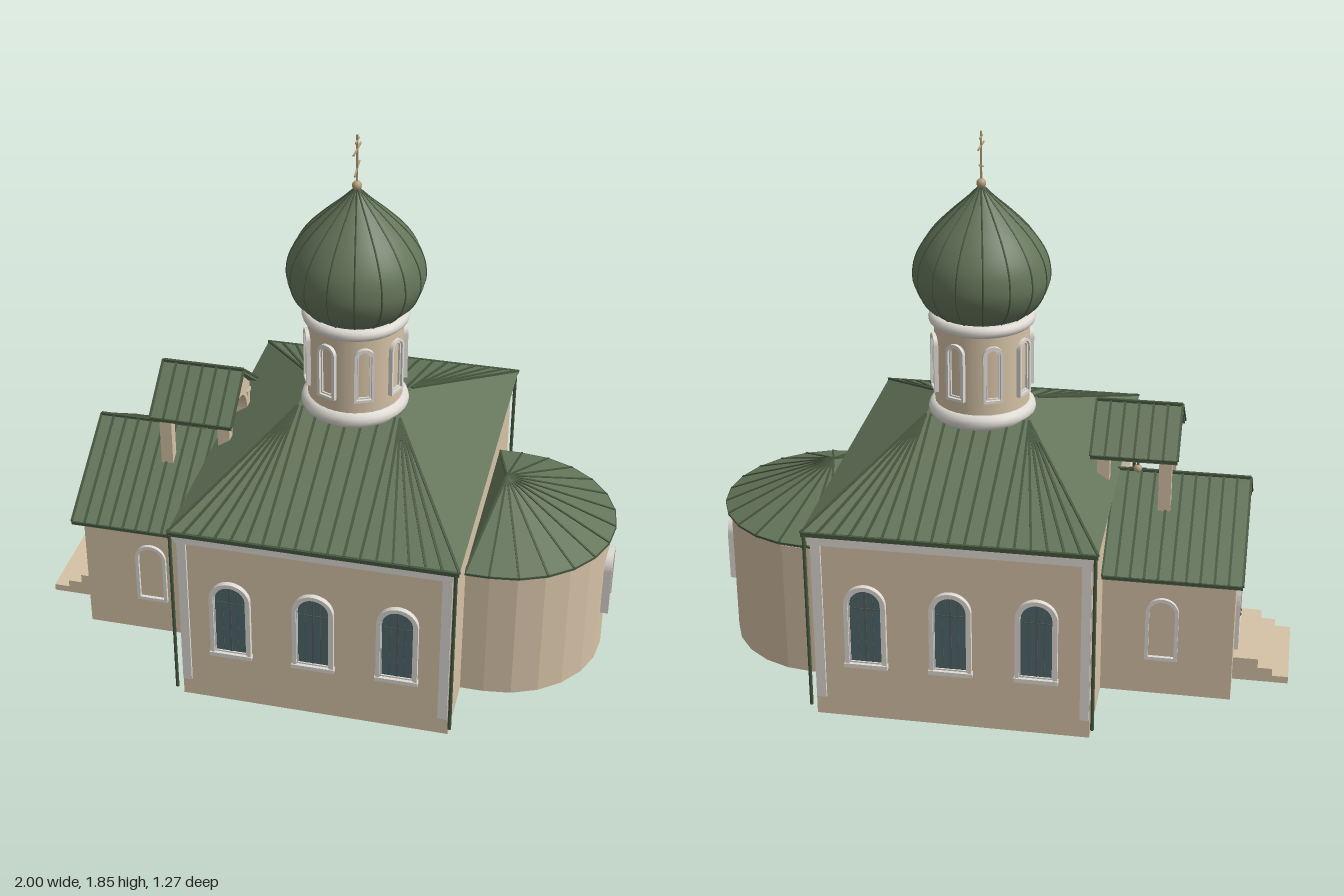
import * as THREE from 'three';

const mat = (name, color) => {
  const m = new THREE.MeshStandardMaterial({ color });
  m.name = name;
  return m;
};

export function createModel() {
  const root = new THREE.Group();
  root.name = 'church';
  const plaster = mat('plaster', 0xd5c2a6);
  const green = mat('roofGreen', 0x64755a);
  const seam = mat('seamGreen', 0x46563f);
  const trim = mat('whiteTrim', 0xdedad3);
  const glass = mat('windowGlass', 0x50686c);
  const iron = mat('greyIron', 0x555a58);
  const wood = mat('doorWood', 0xa08a6e);
  const bronze = mat('paleBronze', 0xb59f7c);

  // ---- helpers ----
  const add = (name, geo, m, x = 0, y = 0, z = 0, parent = root) => {
    const mesh = new THREE.Mesh(geo, m);
    mesh.name = name;
    mesh.position.set(x, y, z);
    parent.add(mesh);
    return mesh;
  };
  // box from min and max corners
  const block = (name, m, x0, x1, y0, y1, z0, z1, parent = root) =>
    add(name, new THREE.BoxGeometry(x1 - x0, y1 - y0, z1 - z0), m,
      (x0 + x1) / 2, (y0 + y1) / 2, (z0 + z1) / 2, parent);
  // thin bar between two points
  const bar = (name, m, a, b, w, parent = root) => {
    const p = new THREE.Vector3(...a), q = new THREE.Vector3(...b);
    const mesh = add(name, new THREE.BoxGeometry(w, w, p.distanceTo(q)), m, 0, 0, 0, parent);
    mesh.position.copy(p).add(q).multiplyScalar(0.5);
    mesh.lookAt(q);
  };
  const flat = (geo) => {
    const g = geo.index ? geo.toNonIndexed() : geo;
    g.computeVertexNormals();
    return g;
  };
  const extrude = (shape, depth) =>
    new THREE.ExtrudeGeometry(shape, { depth, bevelEnabled: false, curveSegments: 10 });
  const extrudeX = (shape, x0, x1) =>
    extrude(shape, x1 - x0).rotateY(Math.PI / 2).translate(x0, 0, 0);
  const poly = (pts) => new THREE.Shape(pts.map((p) => new THREE.Vector2(...p)));
  const arch = (w, h, y0 = 0) => {
    const s = new THREE.Shape();
    s.moveTo(-w / 2, y0);
    s.lineTo(w / 2, y0);
    s.lineTo(w / 2, h - w / 2);
    s.absarc(0, h - w / 2, w / 2, 0, Math.PI, false);
    s.closePath();
    return s;
  };
  const archFrame = (w, h, t) => {
    const s = arch(w, h);
    s.holes.push(arch(w - 2 * t, h - t, t));
    return s;
  };
  // arched opening facing +z, turned by angle
  const opening = (name, w, h, t, depth, fill, x, y, z, angle) => {
    const g = new THREE.Group();
    g.name = name;
    add('frame', extrude(archFrame(w, h, t), depth), trim, 0, 0, 0, g);
    if (fill) add('panel', extrude(arch(w - t, h - t / 2, t / 2), 0.006), fill, 0, 0, 0, g);
    g.position.set(x, y, z);
    g.rotation.y = angle;
    root.add(g);
    return g;
  };
  // gabled roof with its ridge along x and standing seams
  const gableRoof = (name, x0, x1, hz, yE, yR, count) => {
    const g = new THREE.Group();
    g.name = name;
    root.add(g);
    const t = 0.014;
    add('slopes', extrudeX(poly([[-hz, yE], [-hz, yE - t], [0, yR - t], [hz, yE - t], [hz, yE], [0, yR]]), x0, x1), green, 0, 0, 0, g);
    for (const s of [-1, 1]) {
      for (let i = 0; i <= count; i++) {
        const x = x0 + (x1 - x0) * i / count;
        bar('seam', seam, [x, yE, s * hz], [x, yR, 0], 0.008, g);
      }
      bar('eaveEdge', seam, [x0, yE - 0.004, s * hz], [x1, yE - 0.004, s * hz], 0.01, g);
    }
    bar('ridge', seam, [x0, yR, 0], [x1, yR, 0], 0.011, g);
  };

  // ---- nave ----
  const cx = 0.085;
  block('naveWalls', plaster, -0.37, 0.54, 0, 0.66, -0.6, 0.6);
  const roofGeo = new THREE.BoxGeometry(0.95, 0.2, 1.26);
  const rp = roofGeo.attributes.position;
  for (let i = 0; i < rp.count; i++) {
    if (rp.getY(i) > 0) {
      rp.setX(i, Math.sign(rp.getX(i)) * 0.175);
      rp.setZ(i, Math.sign(rp.getZ(i)) * 0.1);
    }
  }
  add('naveRoof', flat(roofGeo), green, cx, 0.788, 0);
  for (const s of [-1, 1]) {
    for (let i = 0; i <= 18; i++) {
      const dx = -0.475 + 0.95 * i / 18;
      const top = THREE.MathUtils.clamp(dx, -0.175, 0.175);
      bar('naveRoofSeam', seam, [cx + dx, 0.689, s * 0.63], [cx + top, 0.888, s * 0.1], 0.008);
    }
    block('gutter', seam, -0.39, 0.56, 0.677, 0.691, s * 0.63 - 0.005, s * 0.63 + 0.005);
    block('upperCornice', trim, -0.38, 0.552, 0.66, 0.677, s * 0.587 - 0.04, s * 0.587 + 0.04);
    block('lowerCornice', trim, -0.375, 0.546, 0.638, 0.654, s * 0.587 - 0.027, s * 0.587 + 0.027);
    for (const [x0, x1, px] of [[-0.368, -0.338, -0.382], [0.505, 0.537, 0.55]]) {
      block('pilaster', trim, x0, x1, 0.07, 0.638, s * 0.6 - 0.01, s * 0.6 + 0.01);
      add('downpipe', new THREE.CylinderGeometry(0.006, 0.006, 0.63, 8), seam, px, 0.367, s * 0.631);
    }
    // glazed windows
    for (const x of [-0.195, cx, 0.365]) {
      const g = opening('naveWindow', 0.138, 0.3, 0.014, 0.018, glass, x, 0.2, s * 0.6, s > 0 ? 0 : Math.PI);
      add('innerFrame', extrude(archFrame(0.114, 0.274, 0.006), 0.011), trim, 0, 0.013, 0, g);
      block('sill', trim, -0.072, 0.072, -0.001, 0.014, 0, 0.022, g);
      block('mullion', iron, -0.003, 0.003, 0.02, 0.28, 0, 0.009, g);
      block('transom', iron, -0.05, 0.05, 0.214, 0.218, 0, 0.008, g);
      for (const k of [-1, 1]) block('glazingBar', iron, k * 0.025 - 0.001, k * 0.025 + 0.001, 0.02, 0.26, 0, 0.008, g);
    }
    // blind niche on the porch side
    opening('porchNiche', 0.11, 0.235, 0.012, 0.012, null, -0.572, 0.135, s * 0.3, s > 0 ? 0 : Math.PI);
  }

  // ---- apse ----
  const ax = 0.62;
  block('apseBase', plaster, 0.5, ax, 0, 0.48, -0.36, 0.36);
  add('apseWall', flat(new THREE.CylinderGeometry(0.36, 0.36, 0.48, 12, 1, false, 0, Math.PI)), plaster, ax, 0.24, 0);
  const rim = [[0.54, 0.5, 0.375]];
  for (let i = 0; i <= 12; i++) {
    const a = Math.PI * i / 12;
    rim.push([ax + 0.375 * Math.sin(a), 0.5, 0.375 * Math.cos(a)]);
  }
  rim.push([0.54, 0.5, -0.375]);
  const apex = [0.615, 0.648, 0], tris = [];
  const base = 0.49;
  rim.forEach((p, i) => {
    const q = rim[(i + 1) % rim.length];
    const pl = [p[0], base, p[2]], ql = [q[0], base, q[2]];
    tris.push(...apex, ...p, ...q, ...p, ...pl, ...q, ...q, ...pl, ...ql, ax, base, 0, ...ql, ...pl);
    bar('apseRoofSeam', seam, p, apex, 0.007);
    if (i < rim.length - 1) bar('apseEave', seam, [p[0], 0.497, p[2]], [q[0], 0.497, q[2]], 0.006);
  });
  const apseRoof = new THREE.BufferGeometry();
  apseRoof.setAttribute('position', new THREE.Float32BufferAttribute(tris, 3));
  add('apseRoof', flat(apseRoof), green);
  opening('apseNiche', 0.115, 0.235, 0.014, 0.028, plaster, 0.972, 0.17, 0, Math.PI / 2);

  // ---- porch with gable, steps and door ----
  add('porchWalls', extrudeX(poly([[-0.3, 0], [0.3, 0], [0.3, 0.478], [0, 0.672], [-0.3, 0.478]]), -0.81, -0.36), plaster);
  gableRoof('porchRoof', -0.833, -0.372, 0.352, 0.465, 0.688, 10);
  [[-1, 0.025], [-0.945, 0.052], [-0.895, 0.085]].forEach(([x, h]) =>
    block('step', plaster, x, -0.8, 0, h, -0.168, 0.168));
  const door = opening('door', 0.23, 0.29, 0.02, 0.014, wood, -0.81, 0.083, 0, -Math.PI / 2);
  add('doorInnerFrame', extrude(archFrame(0.17, 0.25, 0.008), 0.01), trim, 0, 0.01, 0, door);
  block('doorSplit', iron, -0.002, 0.002, 0.01, 0.255, 0, 0.008, door);
  for (const s of [-1, 1]) add('handle', new THREE.SphereGeometry(0.006, 8, 6), iron, s * 0.015, 0.085, 0.012, door);

  // ---- belfry ----
  const end = poly([[-0.13, 0.58], [-0.092, 0.58], [-0.092, 0.73]]);
  end.absarc(0, 0.73, 0.092, Math.PI, 0, true);
  [[0.092, 0.58], [0.13, 0.58], [0.13, 0.815], [0, 0.928], [-0.13, 0.815]].forEach((p) => end.lineTo(...p));
  for (const x of [-0.573, -0.366]) {
    add('belfryArch', extrudeX(end, x, x + 0.042), plaster);
    for (const s of [-1, 1]) block('belfryCapital', plaster, x - 0.004, x + 0.046, 0.78, 0.795, s * 0.112 - 0.02, s * 0.112 + 0.02);
  }
  gableRoof('belfryRoof', -0.593, -0.305, 0.168, 0.81, 0.94, 6);
  add('bellRod', new THREE.CylinderGeometry(0.004, 0.004, 0.07, 8), iron, -0.45, 0.722, 0);
  block('bellBar', iron, -0.478, -0.422, 0.692, 0.697, -0.003, 0.003);
  add('bellKnob', new THREE.SphereGeometry(0.015, 12, 8), bronze, -0.45, 0.694, 0);

  // ---- drum ----
  add('drum', new THREE.CylinderGeometry(0.16, 0.16, 0.38, 32), plaster, cx, 1.045, 0);
  const ring = (name, r, t, y) => add(name, new THREE.TorusGeometry(r, t, 12, 40).rotateX(Math.PI / 2), trim, cx, y, 0);
  ring('lowerRing', 0.153, 0.029, 0.895);
  ring('upperRing', 0.158, 0.021, 1.217);
  for (let i = 0; i < 8; i++) {
    const a = (i + 0.5) * Math.PI / 4;
    const r = 0.155;
    const g = opening('drumNiche', 0.068, 0.2, 0.009, 0.016, null, cx + r * Math.sin(a), 0.968, r * Math.cos(a), a);
    add('innerFrame', extrude(archFrame(0.046, 0.178, 0.005), 0.01), trim, 0, 0.011, 0, g);
  }

  // ---- onion dome ----
  const profile = new THREE.SplineCurve([[0.15, 1.232], [0.195, 1.275], [0.222, 1.33], [0.226, 1.38], [0.211, 1.44],
    [0.168, 1.507], [0.103, 1.573], [0.048, 1.622], [0.008, 1.662]].map((p) => new THREE.Vector2(...p)));
  const pts = profile.getPoints(32);
  add('dome', new THREE.LatheGeometry(pts, 48), green, cx, 0, 0);
  const ribPath = new THREE.CatmullRomCurve3(pts.map((p) => new THREE.Vector3(p.x, p.y, 0)));
  const ribGeo = new THREE.TubeGeometry(ribPath, 32, 0.003, 5);
  for (let i = 0; i < 16; i++) add('domeSeam', ribGeo, seam, cx, 0, 0).rotation.y = (i + 0.5) * Math.PI / 8;

  // ---- finial and cross ----
  add('finialBall', new THREE.SphereGeometry(0.016, 16, 12), bronze, cx, 1.673, 0);
  block('crossPost', bronze, cx - 0.003, cx + 0.003, 1.68, 1.846, -0.003, 0.003);
  for (const [y, w, rise] of [[1.826, 0.025, 0], [1.797, 0.053, 0], [1.73, 0.035, 0.012]])
    bar('crossBar', bronze, [cx, y - rise, w], [cx, y + rise, -w], 0.005);

  return root;
}
